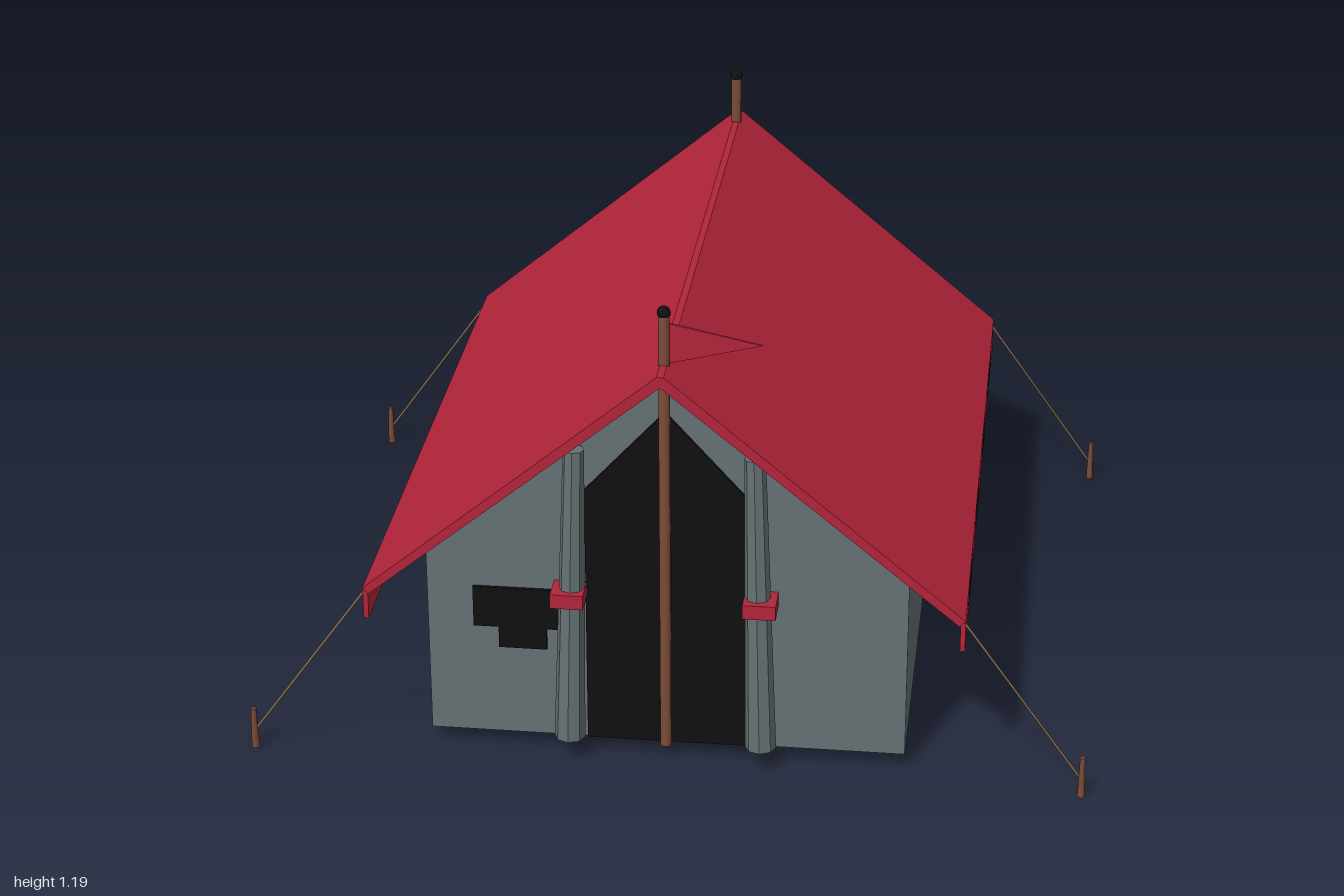
import * as THREE from 'three';

const mat = (name, color) => {
  const m = new THREE.MeshStandardMaterial({ color });
  m.name = name;
  return m;
};

export function createModel() {
  const red = mat('red canvas', 0xb3243a);
  const grey = mat('grey canvas', 0x667174);
  const black = mat('black', 0x101010);
  const wood = mat('wood', 0x7d4d38);
  const rope = mat('rope', 0x8b7050);

  const tent = new THREE.Group();
  tent.name = 'tent';

  const add = (name, geo, material, x = 0, y = 0, z = 0) => {
    const mesh = new THREE.Mesh(geo, material);
    mesh.name = name;
    mesh.position.set(x, y, z);
    tent.add(mesh);
    return mesh;
  };
  const box = (name, material, w, h, d, x, y, z) =>
    add(name, new THREE.BoxGeometry(w, h, d), material, x, y, z);
  // Outline in x,y extruded along z, starting at z0
  const prism = (name, material, points, depth, z0) => {
    const shape = new THREE.Shape(points.map(([x, y]) => new THREE.Vector2(x, y)));
    const geo = new THREE.ExtrudeGeometry(shape, { depth, bevelEnabled: false });
    return add(name, geo, material, 0, 0, z0);
  };
  // Tapered round bar between two points
  const bar = (name, material, a, b, rBottom, rTop, sides) => {
    const from = new THREE.Vector3(...a), to = new THREE.Vector3(...b);
    const dir = to.clone().sub(from);
    const geo = new THREE.CylinderGeometry(rTop, rBottom, dir.length(), sides);
    const mesh = add(name, geo, material);
    mesh.position.copy(from).add(to).multiplyScalar(0.5);
    mesh.quaternion.setFromUnitVectors(new THREE.Vector3(0, 1, 0), dir.normalize());
    return mesh;
  };

  // Canvas body with gabled ends
  prism('body', grey,
    [[-0.57, 0.04], [0.57, 0.04], [0.57, 0.535], [0, 1.005], [-0.57, 0.535]], 1.522, -0.761);

  // Roof sheet folded over the ridge
  prism('roof', red,
    [[0.692, 0.446], [0.706, 0.461], [0.008, 1.043], [-0.008, 1.043],
      [-0.706, 0.461], [-0.692, 0.446], [0, 1.017]], 1.706, -0.853);

  // Doorway and wall patch
  prism('doorway', black,
    [[-0.19, 0.042], [0.19, 0.042], [0.19, 0.705], [0, 0.915], [-0.19, 0.705]], 0.008, 0.761);
  prism('patch', black,
    [[-0.46, 0.435], [-0.46, 0.33], [-0.4, 0.33], [-0.4, 0.275],
      [-0.285, 0.275], [-0.285, 0.33], [-0.255, 0.33], [-0.255, 0.435]], 0.008, 0.761);

  for (const s of [-1, 1]) {
    // Rolled door flaps with their ties
    const flap = bar('rolledFlap', grey,
      [s * 0.229, 0.06, 0.797], [s * 0.21, 0.82, 0.787], 0.037, 0.025, 8);
    flap.material = grey;
    flap.geometry = flap.geometry.toNonIndexed();
    flap.geometry.computeVertexNormals();
    box('flapTie', red, 0.078, 0.036, 0.078, s * 0.226, 0.443, 0.797);

    // Alternating valance tabs along the eaves
    for (let i = 0; i < 9; i++) {
      box('valanceTab', i % 2 ? black : red, 0.012, 0.075, 0.178,
        s * 0.7, 0.417, 0.76 - i * 0.19);
    }

    // Ridge poles at front and back, with round finials
    const z = s * 0.778;
    bar('pole', wood, [0, 0.04, z], [0, 1.165, z], 0.0135, 0.0135, 10);
    add('finial', new THREE.SphereGeometry(0.016, 12, 8), black, 0, 1.17, z);

    // Guy ropes and pegs at each corner
    for (const t of [-1, 1]) {
      const gz = t * 0.836;
      bar('guyRope', rope, [s * 0.99, 0.045, gz], [s * 0.702, 0.45, gz], 0.003, 0.003, 5);
      bar('peg', wood, [s * 0.99, 0, gz], [s * 0.99, 0.106, gz], 0.01, 0.007, 6);
    }
  }

  // Pennant on the front pole
  prism('pennant', red, [[0.008, 1.045], [0.225, 1.1], [0.008, 1.145]], 0.006, 0.775);

  return tent;
}
